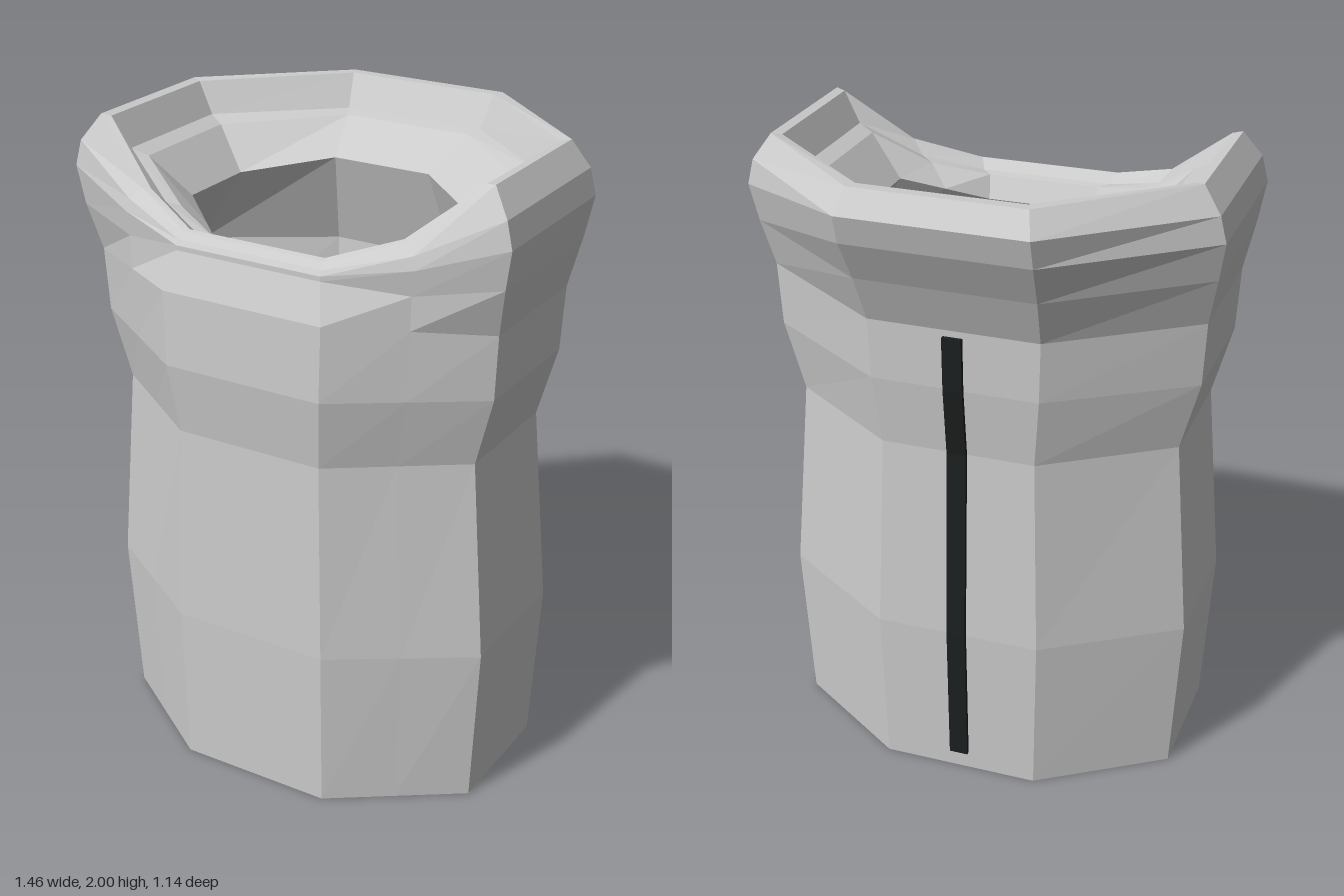
import * as THREE from 'three';

// Each ring: front x,y,z | side x,y, front-corner z, back-corner z | back x,y,z | sag of the front diagonal
const outerRings = [
  [0.25, 0, 0.55, 0.63, 0, 0.29, -0.13, 0.25, 0, -0.385, 0],
  [0.255, 0.52, 0.56, 0.66, 0.52, 0.30, -0.135, 0.26, 0.52, -0.4, 0],
  [0.24, 1.15, 0.54, 0.61, 1.15, 0.285, -0.12, 0.24, 1.15, -0.375, 0],
  [0.26, 1.37, 0.57, 0.67, 1.37, 0.30, -0.13, 0.26, 1.37, -0.4, 0],
  [0.265, 1.6, 0.565, 0.68, 1.57, 0.305, -0.135, 0.265, 1.56, -0.405, 0],
  [0.24, 1.715, 0.525, 0.71, 1.72, 0.34, -0.17, 0.275, 1.71, -0.47, 0.03],
  [0.24, 1.73, 0.525, 0.73, 1.84, 0.35, -0.19, 0.285, 1.84, -0.54, 0.02],
  [0.24, 1.745, 0.515, 0.71, 1.92, 0.345, -0.19, 0.285, 1.93, -0.567, 0.03],
];
const innerRings = [
  [0.235, 1.76, 0.49, 0.655, 2, 0.31, -0.17, 0.265, 2, -0.515, 0.05],
  [0.225, 1.765, 0.475, 0.625, 1.995, 0.30, -0.155, 0.25, 2, -0.48, 0.05],
  [0.21, 1.735, 0.445, 0.57, 1.9, 0.285, -0.14, 0.235, 1.9, -0.425, 0.03],
  [0.18, 1.73, 0.42, 0.52, 1.88, 0.265, -0.115, 0.215, 1.89, -0.385, 0.03],
  [0.17, 1.66, 0.385, 0.405, 1.76, 0.21, -0.05, 0.165, 1.8, -0.225, 0],
  [0.21, 1.5, 0.48, 0.58, 1.5, 0.25, -0.09, 0.21, 1.5, -0.32, 0],
  [0.2, 1.15, 0.46, 0.53, 1.15, 0.24, -0.08, 0.2, 1.15, -0.3, 0],
  [0.21, 0.52, 0.48, 0.58, 0.52, 0.25, -0.09, 0.21, 0.52, -0.325, 0],
  [0.21, 0, 0.47, 0.55, 0, 0.245, -0.085, 0.21, 0, -0.305, 0],
];

// Full ring of corners, mirrored across x
function ringPoints([fx, fy, fz, sx, sy, sf, sb, bx, by, bz, sag]) {
  const half = [
    [fx, fy, fz],
    [(fx + sx) / 2, (fy + sy) / 2 - sag, (fz + sf) / 2],
    [sx, sy, sf], [sx, sy, sb], [bx, by, bz],
  ];
  return [...half, ...half.map(([x, y, z]) => [-x, y, z]).reverse()];
}

// Joins closed rings one after another, last back to first
function loftLoop(rings) {
  const pos = [];
  rings.forEach((lo, r) => {
    const hi = rings[(r + 1) % rings.length];
    lo.forEach((a, i) => {
      const j = (i + 1) % lo.length;
      pos.push(...a, ...lo[j], ...hi[j], ...a, ...hi[j], ...hi[i]);
    });
  });
  const g = new THREE.BufferGeometry();
  g.setAttribute('position', new THREE.Float32BufferAttribute(pos, 3));
  g.computeVertexNormals();
  return g;
}

export function createModel() {
  const group = new THREE.Group();

  // Hollow octagonal body with a rolled collar, inner ledge and neck opening
  const body = new THREE.Mesh(
    loftLoop([...outerRings, ...innerRings].map(ringPoints)),
    new THREE.MeshStandardMaterial({ color: 0xcccccc, flatShading: true })
  );
  body.name = 'body';
  group.add(body);

  // Dark strip following the middle of the back
  const path = [[0.06, -0.387], [0.52, -0.4], [1.15, -0.375], [1.37, -0.4], [1.54, -0.405]];
  const shape = new THREE.Shape([
    ...path.map(([y, z]) => new THREE.Vector2(z - 0.013, y)),
    ...path.map(([y, z]) => new THREE.Vector2(z + 0.015, y)).reverse(),
  ]);
  const stripGeo = new THREE.ExtrudeGeometry(shape, { depth: 0.06, bevelEnabled: false });
  stripGeo.translate(0, 0, -0.03).rotateY(-Math.PI / 2);
  const strip = new THREE.Mesh(
    stripGeo,
    new THREE.MeshStandardMaterial({ color: 0x1c1f1f, flatShading: true })
  );
  strip.name = 'backStrip';
  group.add(strip);

  return group;
}
